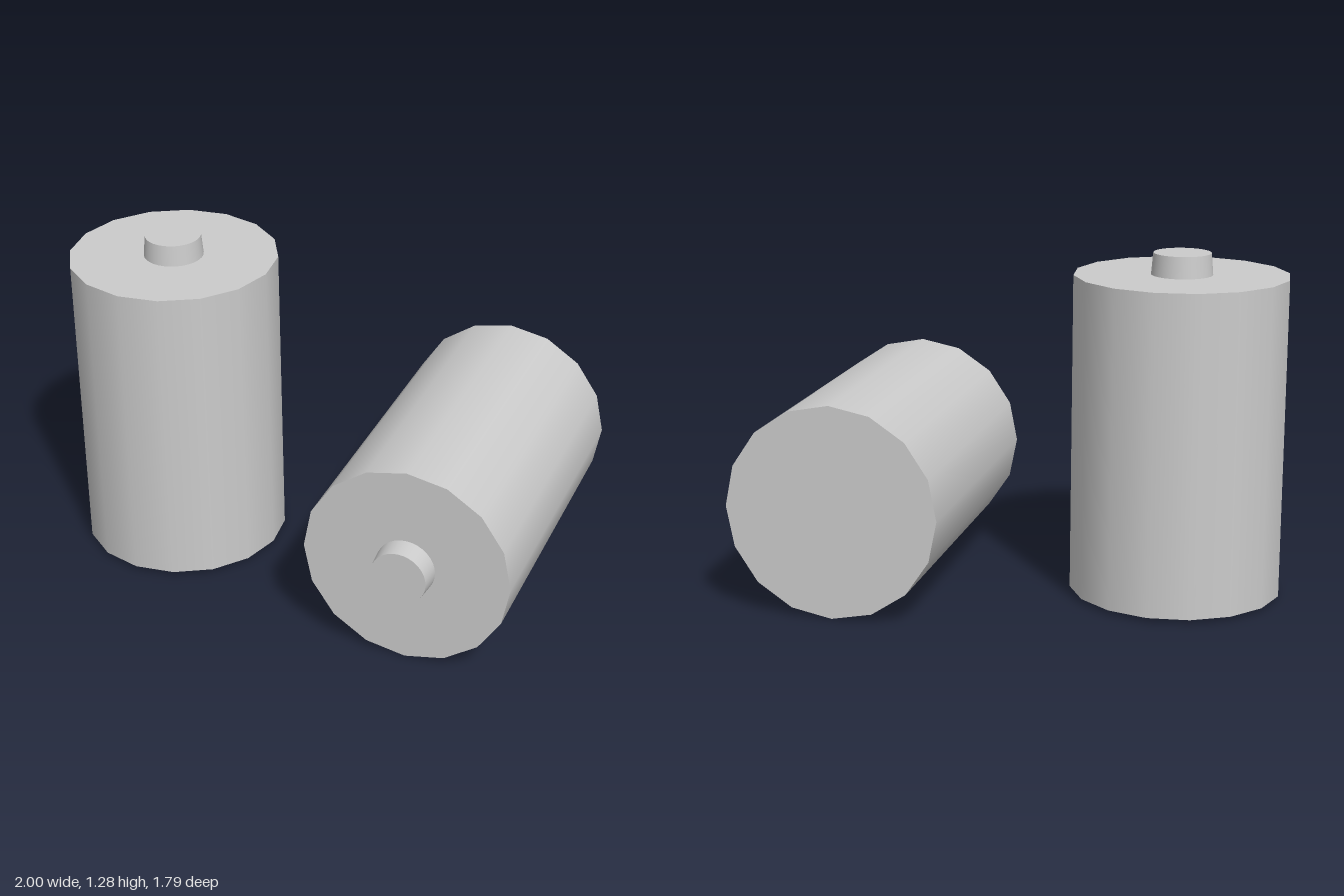
import * as THREE from 'three';

const RADIUS = 0.397;
const LENGTH = 1.19;
const TIP = 0.08;

// One battery with its base centre at the origin, pointing up +y
function makeBattery(name, material) {
  const battery = new THREE.Group();
  battery.name = name;

  const body = new THREE.Mesh(new THREE.CylinderGeometry(RADIUS, RADIUS, LENGTH, 16), material);
  body.name = 'body';
  body.position.y = LENGTH / 2;

  // Slightly tapered contact on the positive end
  const terminal = new THREE.Mesh(new THREE.CylinderGeometry(0.106, 0.113, TIP, 32), material);
  terminal.name = 'terminal';
  terminal.position.y = LENGTH + TIP / 2;

  battery.add(body, terminal);
  return battery;
}

export function createModel() {
  const model = new THREE.Group();
  model.name = 'batteries';
  const material = new THREE.MeshStandardMaterial({ color: 0xcccccc });

  // Upright battery at the back
  const standing = makeBattery('standingBattery', material);
  standing.position.set(-0.603, 0.015, -0.5);

  // Battery on its side, tip turned forward and to the right
  const lying = makeBattery('lyingBattery', material);
  lying.rotation.set(Math.PI / 2, THREE.MathUtils.degToRad(-40), 0, 'YXZ');
  lying.position.set(0.695, RADIUS, -0.27);

  model.add(standing, lying);
  return model;
}
